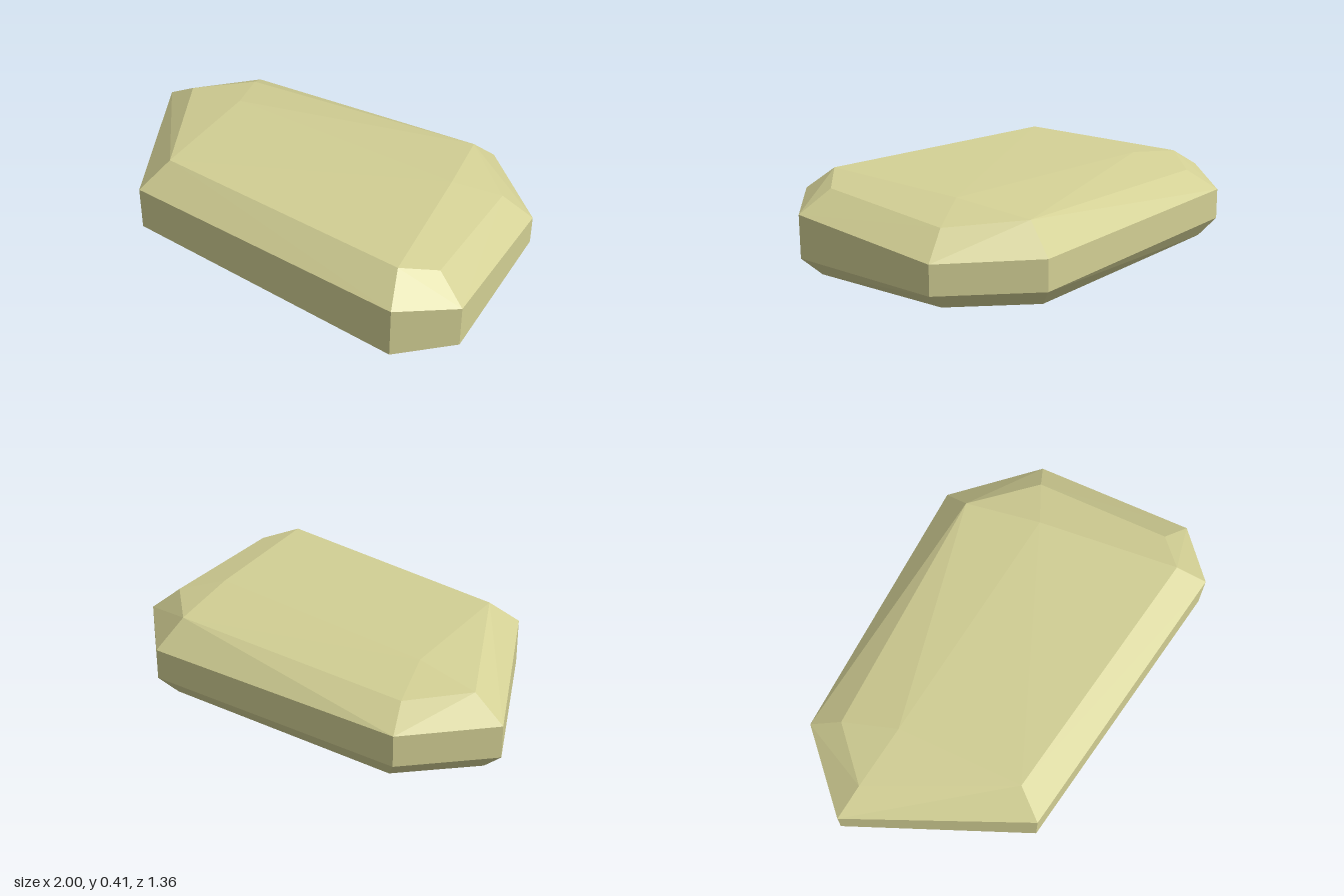
import * as THREE from 'three';
import { ConvexGeometry } from 'three/addons/geometries/ConvexGeometry.js';

export function createModel() {
  const group = new THREE.Group();
  group.name = 'flatStone';
  const stone = new THREE.MeshStandardMaterial({ color: 0xd2cf94 });
  stone.name = 'pale sandstone';

  // Seven-cornered outline: x, z, shoulder height
  const outline = [
    [-1, 0.065, 0.22], [-0.8, -0.32, 0.215], [0.38, -0.68, 0.215], [0.785, -0.465, 0.21],
    [1, 0.22, 0.27], [0.85, 0.46, 0.305], [-0.435, 0.68, 0.28],
  ];
  // Inset foot outline: x, z
  const foot = [
    [-0.91, 0.06], [-0.73, -0.28], [0.35, -0.6], [0.7, -0.41],
    [0.915, 0.2], [0.79, 0.4], [-0.41, 0.6],
  ];
  // Sloping crown: x, y, z, with two inner high points
  const crown = [
    [-0.85, 0.31, 0.05], [-0.71, 0.295, -0.21], [0.37, 0.336, -0.545], [0.68, 0.315, -0.38],
    [0.86, 0.365, 0.2], [0.77, 0.408, 0.345], [-0.39, 0.39, 0.54],
    [0.52, 0.375, -0.235], [-0.57, 0.353, 0],
  ];

  // Faceted body: foot bevel, upright band and chipped top
  const points = crown.map((p) => new THREE.Vector3(...p));
  for (const [x, z] of foot) points.push(new THREE.Vector3(x, 0, z));
  for (const [x, z, y] of outline) {
    points.push(new THREE.Vector3(x, 0.08, z), new THREE.Vector3(x, y, z));
  }
  const body = new THREE.Mesh(new ConvexGeometry(points), stone);
  body.name = 'stoneBody';
  group.add(body);
  return group;
}
